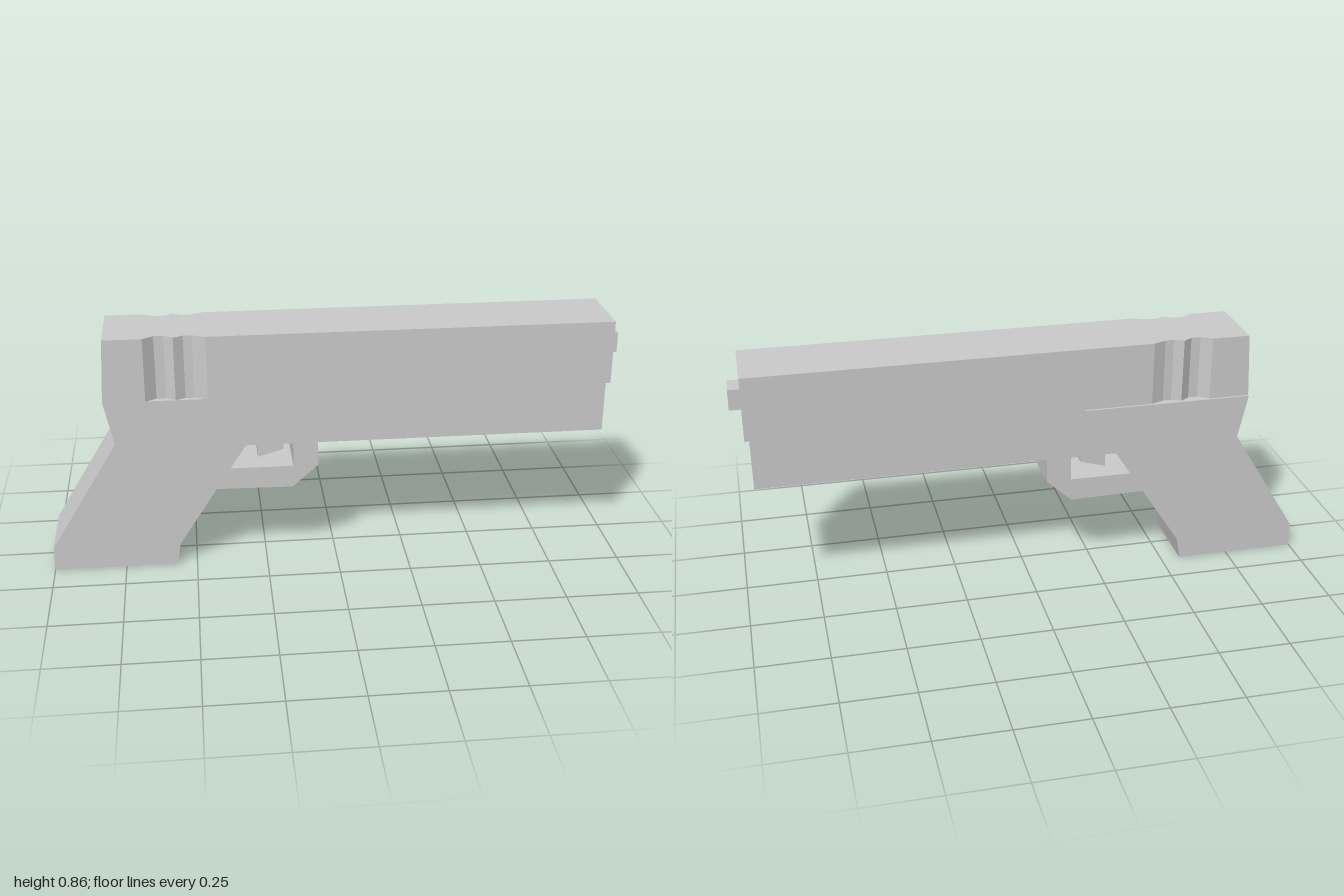
import * as THREE from 'three';

const material = new THREE.MeshStandardMaterial({ color: 0xcccccc, flatShading: true });

function outline(points) {
  return new THREE.Shape(points.map(([x, y]) => new THREE.Vector2(x, y)));
}

function addMesh(group, name, geometry) {
  const mesh = new THREE.Mesh(geometry, material);
  mesh.name = name;
  group.add(mesh);
}

// Side profile in x and y, extruded between two z values
function profile(points, zBack, zFront) {
  const geometry = new THREE.ExtrudeGeometry(outline(points), { depth: zFront - zBack, bevelEnabled: false });
  return geometry.translate(0, 0, zBack);
}

// Slide: plan outline with grip scallops on both sides, extruded upward
function slideGeometry() {
  const bottom = 0.63, top = 0.855, zMid = 0.003, half = 0.125;
  const rear = -0.783, rearShift = -0.012;
  const edge = [
    [rear, 0], [-0.65, 0], [-0.613, 0.025], [-0.58, 0.025], [-0.548, 0.003],
    [-0.515, 0.02], [-0.485, 0.019], [-0.44, 0], [0.96, 0],
  ];
  const near = edge.map(([x, inset]) => [x, -(half - inset)]);
  const far = edge.map(([x, inset]) => [x, half - inset]).reverse();
  const geometry = new THREE.ExtrudeGeometry(outline([...near, ...far]), { depth: top - bottom, bevelEnabled: false });
  geometry.rotateX(-Math.PI / 2).translate(0, bottom, zMid);
  // Slope the rear face
  const p = geometry.attributes.position;
  for (let i = 0; i < p.count; i++) {
    if (p.getX(i) < rear + 0.001 && p.getY(i) < bottom + 0.001) p.setX(i, p.getX(i) + rearShift);
  }
  geometry.computeVertexNormals();
  return geometry;
}

export function createModel() {
  const group = new THREE.Group();
  group.name = 'pistol';
  const back = -0.122, front = 0.128;

  addMesh(group, 'slide', slideGeometry());

  // Lower frame under the slide
  addMesh(group, 'frame', profile([
    [-0.318, 0.452], [0.943, 0.452], [0.943, 0.63], [-0.2, 0.63],
  ], back, front));

  // Grip with its flared upper panel, set slightly toward the back
  addMesh(group, 'grip', profile([
    [-1, 0], [-0.57, 0], [-0.557, 0.077], [-0.42, 0.289],
    [-0.2, 0.63], [-0.795, 0.63], [-0.762, 0.475], [-1, 0.085],
  ], -0.13, 0.125));

  // Trigger guard
  addMesh(group, 'triggerGuard', profile([
    [-0.42, 0.289], [-0.155, 0.285], [-0.065, 0.366], [-0.065, 0.452],
    [-0.152, 0.452], [-0.152, 0.366], [-0.37, 0.366],
  ], back, front));

  // Trigger
  addMesh(group, 'trigger', profile([
    [-0.275, 0.406], [-0.185, 0.433], [-0.185, 0.455], [-0.275, 0.455],
  ], back, front));

  // Muzzle tip
  const muzzle = new THREE.BoxGeometry(0.06, 0.073, 0.083);
  muzzle.translate(0.97, 0.747, 0.002);
  addMesh(group, 'muzzle', muzzle);

  return group;
}
